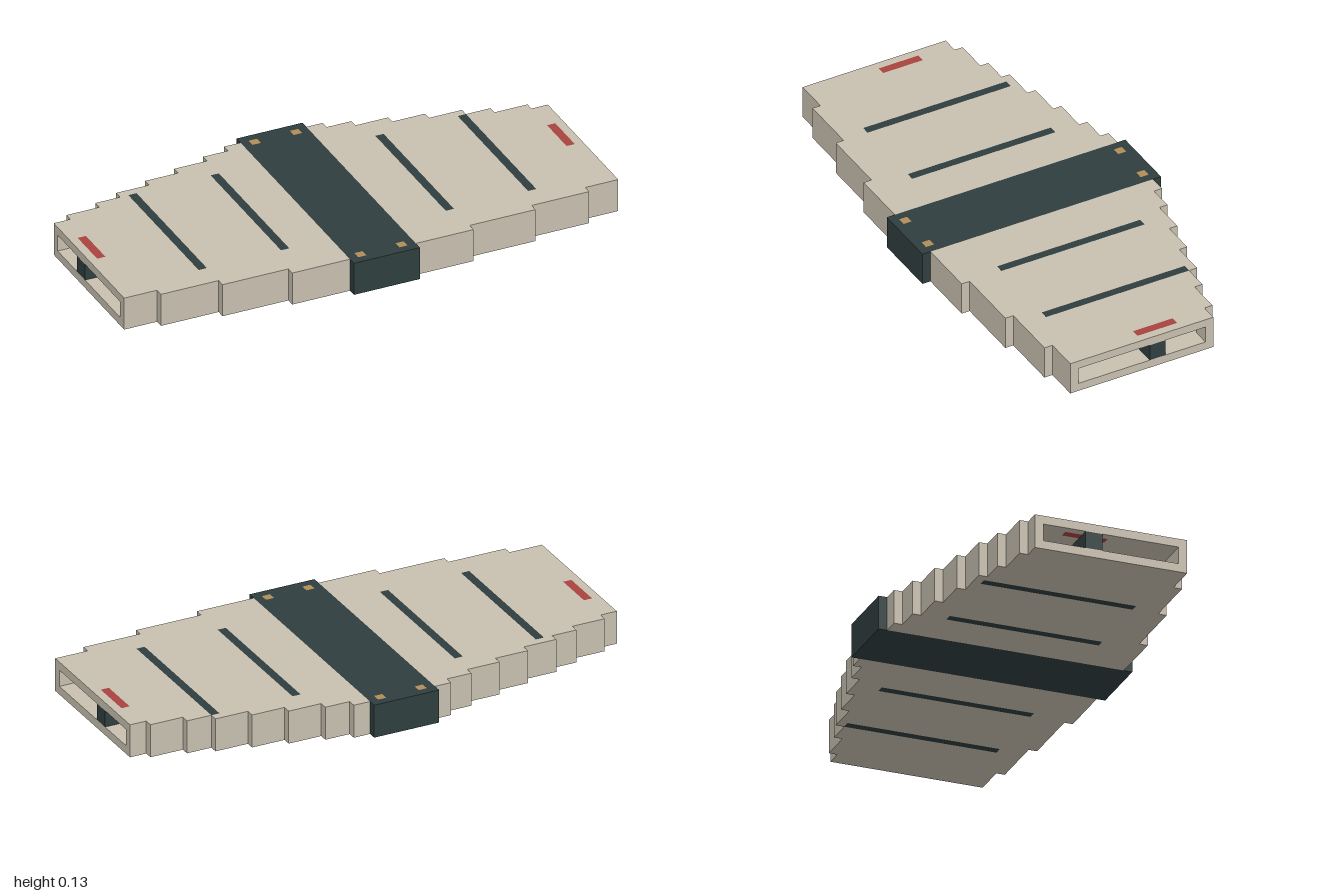
import * as THREE from 'three';

const U = 1 / 30; // one block
const mat = (name, color) => {
  const m = new THREE.MeshStandardMaterial({ color });
  m.name = name;
  return m;
};

export function createModel() {
  const group = new THREE.Group();
  const shell = mat('beige shell', 0xc8c0b0);
  const dark = mat('dark slate', 0x2f3e3f);
  const red = mat('red', 0xa8433f);
  const gold = mat('gold', 0xb08d57);

  const add = (name, geometry, material) => {
    const mesh = new THREE.Mesh(geometry, material);
    mesh.name = name;
    group.add(mesh);
  };

  // Box between two corners, in blocks
  const box = (name, material, x0, x1, y0, y1, z0, z1) => {
    const g = new THREE.BoxGeometry((x1 - x0) * U, (y1 - y0) * U, (z1 - z0) * U);
    g.translate((x0 + x1) / 2 * U, (y0 + y1) / 2 * U, (z0 + z1) / 2 * U);
    add(name, g, material);
  };

  // Flat slab one block thick, with rectangular slots [x0, x1, z0, z1]
  const slab = (name, material, points, slots, yTop) => {
    const shape = new THREE.Shape(points.map(([x, z]) => new THREE.Vector2(x * U, z * U)));
    for (const [x0, x1, z0, z1] of slots) {
      shape.holes.push(new THREE.Path([[x0, z0], [x0, z1], [x1, z1], [x1, z0]]
        .map(([x, z]) => new THREE.Vector2(x * U, z * U))));
    }
    const g = new THREE.ExtrudeGeometry(shape, { depth: U, bevelEnabled: false });
    g.rotateX(Math.PI / 2).translate(0, yTop * U, 0);
    add(name, g, material);
  };

  // Stepped edges from the centre outwards: [inner x, outer x, edge z]
  const front = [[4, 11, 14], [11, 19, 13], [19, 26, 12], [26, 30, 11]];
  const back = [[4, 6, -14], [6, 9, -13], [9, 13, -12], [13, 17, -11],
    [17, 21, -10], [21, 24, -9], [24, 28, -8], [28, 30, -7]];

  for (const side of [-1, 1]) {
    const label = side > 0 ? 'left' : 'right';
    const outline = [];
    for (const [a, b, z] of front) outline.push([a * side, z], [b * side, z]);
    for (const [a, b, z] of [...back].reverse()) outline.push([b * side, z], [a * side, z]);

    // Bulkheads showing through both skins, and the red tip marker
    const ribs = (side > 0 ? [10, 20] : [-10, -20]).map((x) => [x, x + 1, -9, 9]);
    const mark = side > 0 ? [28, 29, -3, 2] : [-29, -28, -3, 2];
    slab(label + 'TopSkin', shell, outline, [...ribs, mark], 4);
    slab(label + 'BottomSkin', shell, outline, ribs, 1);
    for (const [x0, x1, z0, z1] of ribs) box(label + 'Bulkhead', dark, x0, x1, 0, 4, z0, z1);
    box(label + 'TipMarker', red, mark[0], mark[1], 3, 4, mark[2], mark[3]);

    // Stepped side walls; the tip stays open
    const wall = (name, a, b, z0, z1) =>
      box(name, shell, Math.min(a * side, b * side), Math.max(a * side, b * side), 1, 3, z0, z1);
    for (const [a, b, z] of front) wall(label + 'FrontWall', a, b, z - 1, z);
    for (const [a, b, z] of back) wall(label + 'BackWall', a, b, z, z + 1);

    // Inner spar reaching the tip
    box(label + 'Spar', dark, side > 0 ? 4 : -30, side > 0 ? 30 : -4, 1, 3, -1, 1);
  }

  // Central band with flush gold studs
  const studs = [];
  for (const x of [-3, 2]) for (const z of [-14, 13]) studs.push([x, x + 1, z, z + 1]);
  box('centreBand', dark, -4, 4, 0, 3, -15, 15);
  slab('centreBandTop', dark, [[-4, -15], [4, -15], [4, 15], [-4, 15]], studs, 4);
  for (const [x0, x1, z0, z1] of studs) box('stud', gold, x0, x1, 3, 4, z0, z1);

  return group;
}
